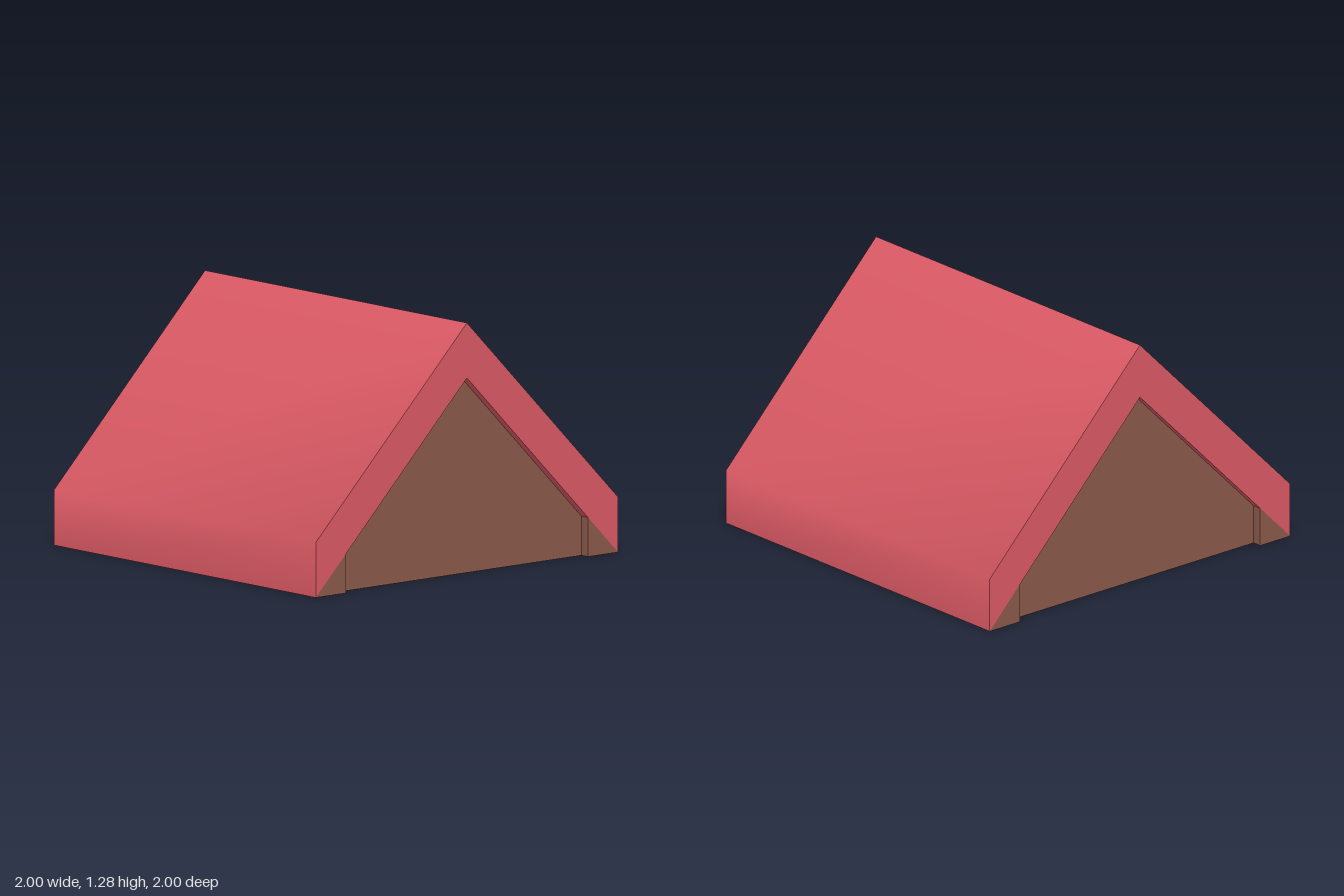
import * as THREE from 'three';
import { toCreasedNormals } from 'three/addons/utils/BufferGeometryUtils.js';

const roofRed = new THREE.MeshStandardMaterial({ color: 0xdb5a65 });
roofRed.name = 'roofRed';
const wallBrown = new THREE.MeshStandardMaterial({ color: 0x8a594a });
wallBrown.name = 'wallBrown';

// Extrudes a cross-section across the model, centred at x
function prism(name, points, length, x, material) {
  const shape = new THREE.Shape(points.map(([u, y]) => new THREE.Vector2(u, y)));
  const geometry = new THREE.ExtrudeGeometry(shape, { depth: length, bevelEnabled: false });
  geometry.translate(0, 0, -length / 2).rotateY(Math.PI / 2);
  // The slope blends softly into the eave; the ridge and ends stay sharp
  const mesh = new THREE.Mesh(toCreasedNormals(geometry, Math.PI / 3), material);
  mesh.name = name;
  mesh.position.x = x;
  return mesh;
}

export function createModel() {
  const model = new THREE.Group();
  model.name = 'gableRoof';

  // Roof shell with upright eaves
  const shell = [[-1, 0], [0, 1], [1, 0], [1, 0.28], [0, 1.28], [-1, 0.28]];
  model.add(prism('roofShell', shell, 2, 0, roofRed));

  // Gable walls and underside, slightly recessed from the roof ends
  model.add(prism('gableWall', [[-1, 0], [1, 0], [0, 1]], 1.9, 0, wallBrown));

  // Wedge blocks at the four corners, flush with the roof ends
  for (const x of [-0.975, 0.975]) {
    for (const s of [-1, 1]) {
      const wedge = [[0.8 * s, 0], [s, 0], [0.8 * s, 0.2]];
      model.add(prism('cornerBlock', wedge, 0.05, x, wallBrown));
    }
  }
  return model;
}
